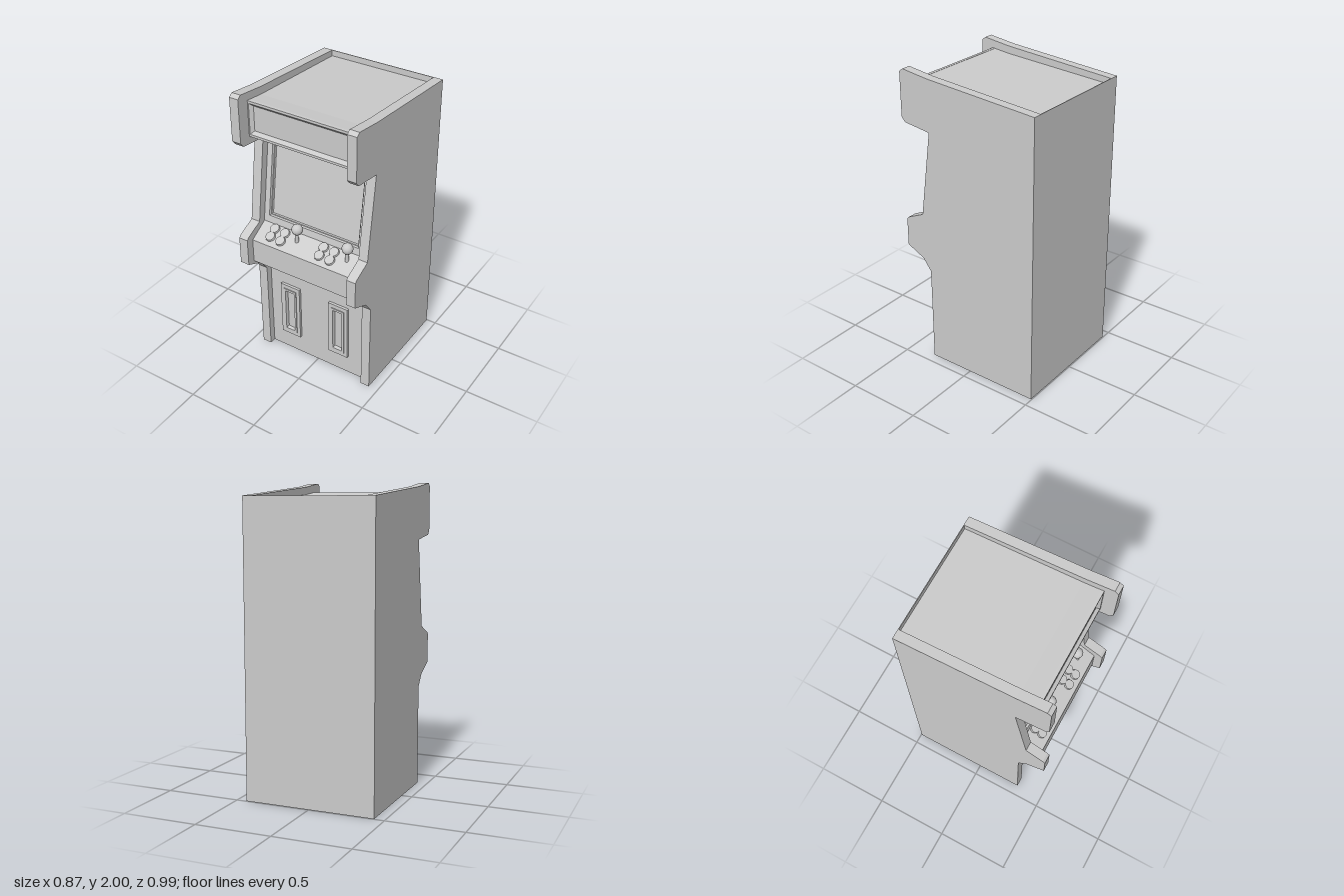
import * as THREE from 'three';

const material = new THREE.MeshStandardMaterial({ color: 0xcccccc, flatShading: true });
const smooth = new THREE.MeshStandardMaterial({ color: 0xcccccc });

function add(parent, name, geometry, x = 0, y = 0, z = 0, mat = material) {
  const mesh = new THREE.Mesh(geometry, mat);
  mesh.name = name;
  mesh.position.set(x, y, z);
  parent.add(mesh);
  return mesh;
}

// Extrudes a [z, y] outline across x, from x0 to x1
function profile(points, x0, x1) {
  const shape = new THREE.Shape(points.map(([z, y]) => new THREE.Vector2(z, y)));
  const g = new THREE.ExtrudeGeometry(shape, { depth: x1 - x0, bevelEnabled: false });
  return g.rotateY(-Math.PI / 2).translate(x1, 0, 0);
}

function rect(target, w, h) {
  return target.setFromPoints([[-1, -1], [1, -1], [1, 1], [-1, 1]]
    .map(([x, y]) => new THREE.Vector2(x * w / 2, y * h / 2)));
}

// Rectangular frame whose opening slopes inwards from the front to the back
function frame(w, h, innerW, innerH, depth, slope = 0) {
  const shape = rect(new THREE.Shape(), w, h);
  shape.holes.push(rect(new THREE.Path(), innerW, innerH));
  const g = new THREE.ExtrudeGeometry(shape, { depth, bevelEnabled: false });
  const p = g.attributes.position;
  for (let i = 0; i < p.count; i++) {
    const x = p.getX(i), y = p.getY(i);
    const inside = Math.abs(x) < innerW / 2 + 1e-4 && Math.abs(y) < innerH / 2 + 1e-4;
    if (inside && p.getZ(i) < depth / 2) {
      p.setXY(i, x - Math.sign(x) * slope, y - Math.sign(y) * slope);
    }
  }
  g.computeVertexNormals();
  return g;
}

export function createModel() {
  const cabinet = new THREE.Group();
  cabinet.name = 'arcadeCabinet';
  const inner = 0.37, outer = 0.433, back = -0.495;

  // Side panels
  const side = [
    [back, 0], [0.31, 0], [0.31, 0.66], [0.37, 0.74], [0.495, 0.8], [0.495, 0.99], [0.48, 1.005],
    [0.36, 1.06], [0.28, 1.635], [0.47, 1.66], [0.495, 1.69], [0.495, 1.98], [0.47, 2],
    [0.28, 1.975], [back, 1.915],
  ];
  add(cabinet, 'leftSidePanel', profile(side, inner, outer));
  add(cabinet, 'rightSidePanel', profile(side, -outer, -inner));

  // Body between the panels, with the screen and marquee faces set back
  const body = [
    [back, 0], [0.265, 0], [0.265, 0.68], [0.44, 0.8], [0.44, 0.965], [0.31, 1.04], [0.285, 1.04],
    [0.195, 1.685], [0.22, 1.685], [0.39, 1.703], [0.39, 1.938], [0.28, 1.925], [back, 1.875],
  ];
  add(cabinet, 'body', profile(body, -inner, inner));
  add(cabinet, 'backLip', new THREE.BoxGeometry(inner * 2, 0.045, 0.005), 0, 1.8925, back + 0.0025);

  // Screen surround
  const bezel = new THREE.Group();
  bezel.name = 'screen';
  bezel.position.set(0, 1.3625, 0.24);
  bezel.rotation.x = -Math.atan2(0.09, 0.645);
  cabinet.add(bezel);
  add(bezel, 'screenBezel', frame(inner * 2, 0.651, 0.665, 0.555, 0.025, 0.008));
  add(bezel, 'screenInnerRim', frame(0.665, 0.555, 0.645, 0.535, 0.01, 0.004), 0, 0, 0.001);

  // Marquee frame
  add(cabinet, 'marqueeFrame', frame(inner * 2, 0.237, 0.725, 0.205, 0.02, 0.02), 0, 1.821, 0.39);

  // Coin doors
  for (const x of [-0.207, 0.17]) {
    const door = new THREE.Group();
    door.name = 'coinDoor';
    door.position.set(x, 0.345, 0.265);
    cabinet.add(door);
    add(door, 'doorPlate', frame(0.148, 0.41, 0.095, 0.35, 0.018));
    add(door, 'doorRim', frame(0.098, 0.353, 0.07, 0.32, 0.024, 0.004));
  }

  // Controls, one set per player
  const tilt = Math.atan2(0.075, 0.13);
  const deckY = z => 0.965 + (0.44 - z) * 0.075 / 0.13;
  for (const [player, shift] of [['right', 0], ['left', 0.37]]) {
    const controls = new THREE.Group();
    controls.name = player + 'Controls';
    controls.position.x = shift;
    cabinet.add(controls);

    for (const [x, offset] of [[-0.267, 0], [-0.187, 0.004]]) {
      for (const z of [0.337, 0.388]) {
        const button = add(controls, 'button', new THREE.CylinderGeometry(0.031, 0.035, 0.018, 12),
          x, deckY(z + offset) + 0.005, z + offset);
        button.rotation.x = tilt;
      }
    }
    add(controls, 'joystickShaft', new THREE.CylinderGeometry(0.012, 0.012, 0.12, 10), -0.085, 1.04, 0.355, smooth);
    add(controls, 'joystickBall', new THREE.SphereGeometry(0.037, 12, 8), -0.085, 1.1, 0.35, smooth);
  }
  return cabinet;
}
